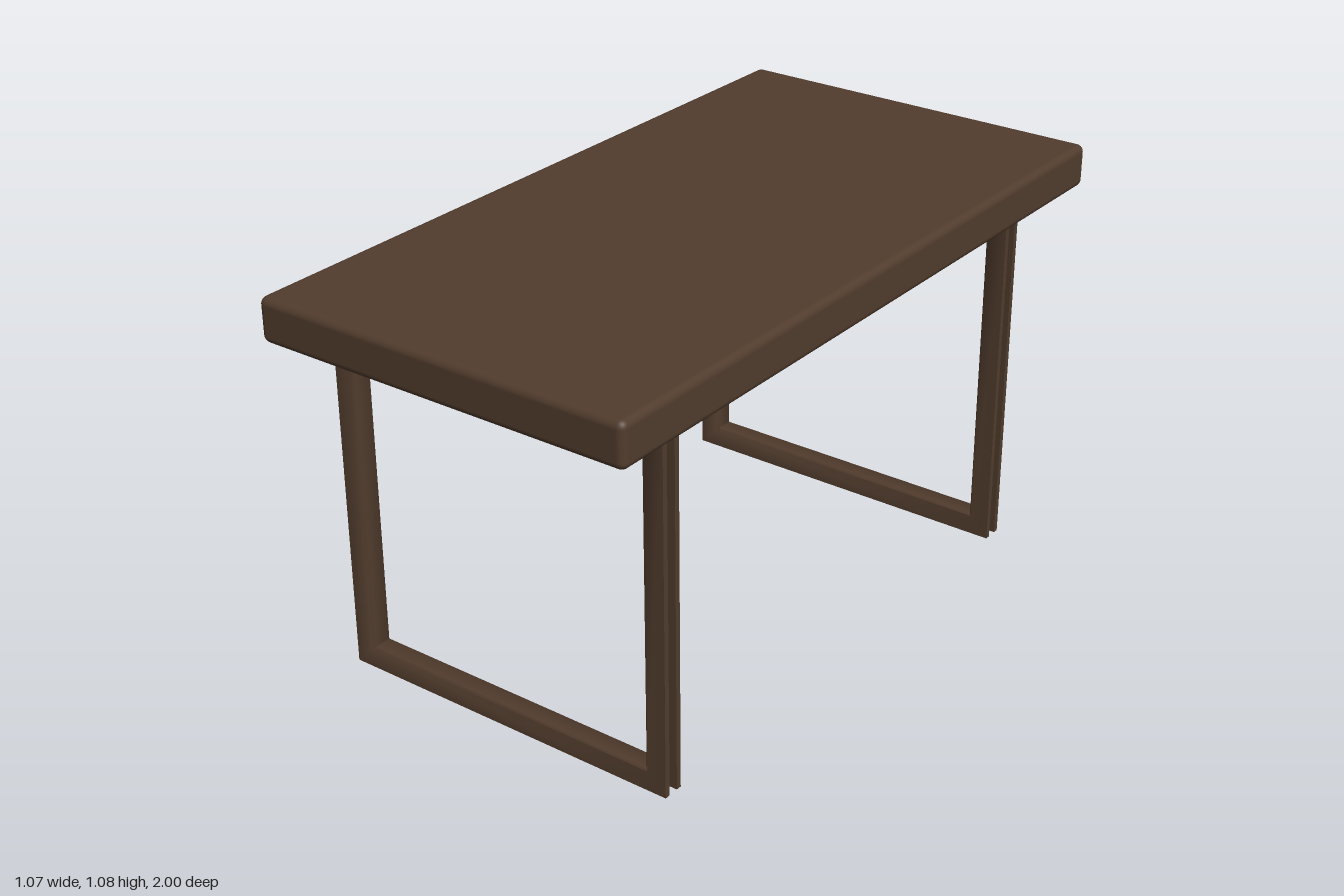
import * as THREE from 'three';
import { toCreasedNormals } from 'three/addons/utils/BufferGeometryUtils.js';
import { RoundedBoxGeometry } from 'three/addons/geometries/RoundedBoxGeometry.js';

const LEG_TOP = 0.96;
const HALF_SPAN = 0.49; // half the outer width of a leg frame

// Channel section as [inward from outer edge, z], groove on the outer side
function channelSection() {
  const w = 0.029, depth = 0.058, c = 0.004, groove = 0.014, cut = 0.03;
  return [
    [0, -w], [depth - c, -w], [depth, c - w], [depth, w - c], [depth - c, w],
    [0, w], [0, groove], [cut, groove], [cut, -groove], [0, -groove],
  ];
}

// Sweep the section down one leg, along the floor and up the other, with mitred corners
function frameGeometry() {
  const section = channelSection();
  const stations = [
    { x: -HALF_SPAN, y: LEG_TOP, dx: 1, dy: 0 },
    { x: -HALF_SPAN, y: 0, dx: 1, dy: 1 },
    { x: HALF_SPAN, y: 0, dx: -1, dy: 1 },
    { x: HALF_SPAN, y: LEG_TOP, dx: -1, dy: 0 },
  ];
  const point = (s, [d, z]) => [s.x + d * s.dx, s.y + d * s.dy, z];
  const positions = [];
  for (let i = 0; i < stations.length - 1; i++) {
    section.forEach((p, j) => {
      const q = section[(j + 1) % section.length];
      const a = point(stations[i], p), b = point(stations[i], q);
      const c = point(stations[i + 1], q), d = point(stations[i + 1], p);
      positions.push(...a, ...b, ...c, ...a, ...c, ...d);
    });
  }
  const geometry = new THREE.BufferGeometry();
  geometry.setAttribute('position', new THREE.Float32BufferAttribute(positions, 3));
  return toCreasedNormals(geometry, 0.87);
}

export function createModel() {
  const table = new THREE.Group();
  table.name = 'table';

  const darkWood = new THREE.MeshStandardMaterial({ color: 0x513c2d });
  darkWood.name = 'dark wood';

  // Thick slab with softened edges
  const top = new THREE.Mesh(new RoundedBoxGeometry(1.062, 0.118, 1.996, 4, 0.02), darkWood);
  top.name = 'tableTop';
  top.position.set(-0.002, 1.016, 0);
  table.add(top);

  // Two U-shaped leg frames, their open upper ends set into the slab
  const frame = frameGeometry();
  for (const [name, z] of [['frontLegFrame', 0.78], ['backLegFrame', -0.695]]) {
    const legs = new THREE.Mesh(frame, darkWood);
    legs.name = name;
    legs.position.set(-0.004, 0, z);
    table.add(legs);
  }

  // The whole table stands very slightly turned
  table.rotation.y = -0.0025;
  const model = new THREE.Group();
  model.add(table);
  return model;
}
